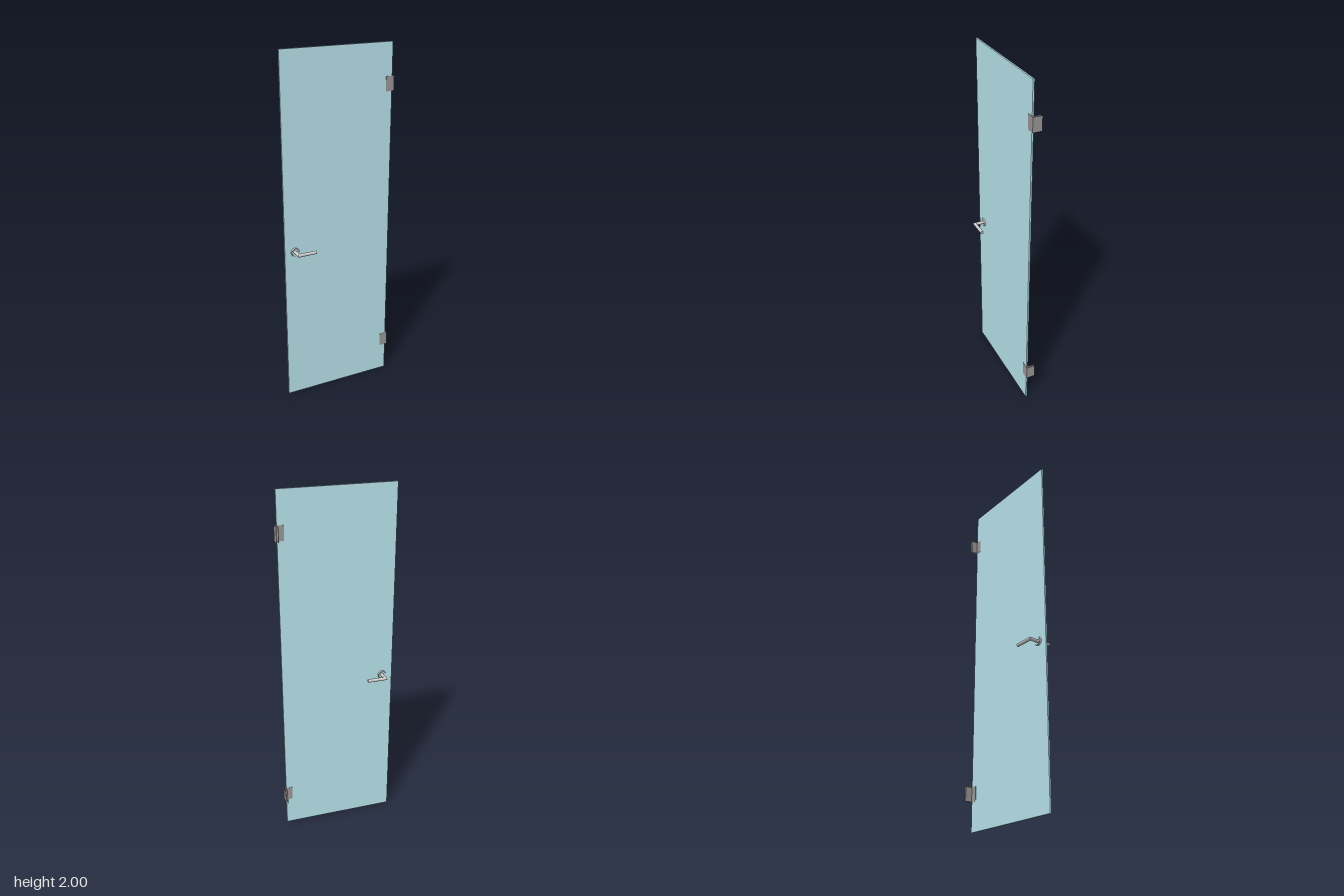
import * as THREE from 'three';

const steel = new THREE.MeshStandardMaterial({ color: 0xcccccc });
const darkSteel = new THREE.MeshStandardMaterial({ color: 0x9a9698 });
const glass = new THREE.MeshStandardMaterial({ color: 0xb8e3ec });

// Box given by its min and max corners
function block(name, [x0, y0, z0], [x1, y1, z1], material) {
  const m = new THREE.Mesh(new THREE.BoxGeometry(x1 - x0, y1 - y0, z1 - z0), material);
  m.name = name;
  m.position.set((x0 + x1) / 2, (y0 + y1) / 2, (z0 + z1) / 2);
  return m;
}

// Round bar lying along z from 0 to length, with its far end cut at 45 degrees
function mitredBar(name, length, radius) {
  const g = new THREE.CylinderGeometry(radius, radius, length, 32);
  g.rotateX(Math.PI / 2).translate(0, 0, length / 2);
  const p = g.attributes.position;
  for (let i = 0; i < p.count; i++) {
    if (p.getZ(i) > length / 2) p.setZ(i, length - p.getX(i));
  }
  const m = new THREE.Mesh(g, steel);
  m.name = name;
  return m;
}

// One side of the lever handle: rosette, neck and lever
function leverHandle(name) {
  const group = new THREE.Group();
  group.name = name;
  const radius = 0.0093, reach = 0.06, leverLength = 0.104;

  // Open bevelled ring around the neck
  const profile = [[0.024, 0.0045], [0.024, 0.0075], [0.021, 0.0125]]
    .map(([r, h]) => new THREE.Vector2(r, h));
  const rosette = new THREE.Mesh(new THREE.LatheGeometry(profile, 40), steel);
  rosette.name = 'rosette';
  rosette.rotation.x = Math.PI / 2;

  const neck = mitredBar('neck', reach, radius);
  // The lever's mitred end meets the neck
  const lever = mitredBar('lever', leverLength, radius);
  lever.geometry.rotateY(-Math.PI / 2).rotateX(Math.PI);
  lever.position.set(leverLength, 0, reach);
  group.add(rosette, neck, lever);
  return group;
}

// Corner hinge: outer and inner plates clamping the door and the adjoining panel
function hinge(name, y) {
  const group = new THREE.Group();
  group.name = name;
  const h = 0.04, t = 0.0018;
  const x0 = 0.28, x1 = 0.329, z0 = -0.045, z1 = 0.0063, gap = 0.009;
  const xi = x1 - t - gap, zi = z1 - t - gap;
  group.add(
    block('outerDoorPlate', [x0, -h, z1 - t], [x1, h, z1], darkSteel),
    block('outerSidePlate', [x1 - t, -h, z0], [x1, h, z1 - t], darkSteel),
    block('innerDoorPlate', [x0, -h, zi - t], [xi, h, zi], darkSteel),
    block('innerSidePlate', [xi - t, -h, z0], [xi, h, z1 - t], darkSteel),
  );
  group.position.y = y;
  return group;
}

export function createModel() {
  const model = new THREE.Group();
  model.name = 'glassDoor';

  model.add(block('glassPanel', [-0.329, 0, -0.0045], [0.317, 2, 0.0045], glass));

  // Matching handles front and back
  const front = leverHandle('frontHandle');
  front.position.set(-0.269, 0.907, 0);
  const back = leverHandle('backHandle');
  back.position.copy(front.position);
  back.scale.z = -1;
  model.add(front, back);

  model.add(hinge('upperHinge', 1.779), hinge('lowerHinge', 0.204));
  return model;
}
